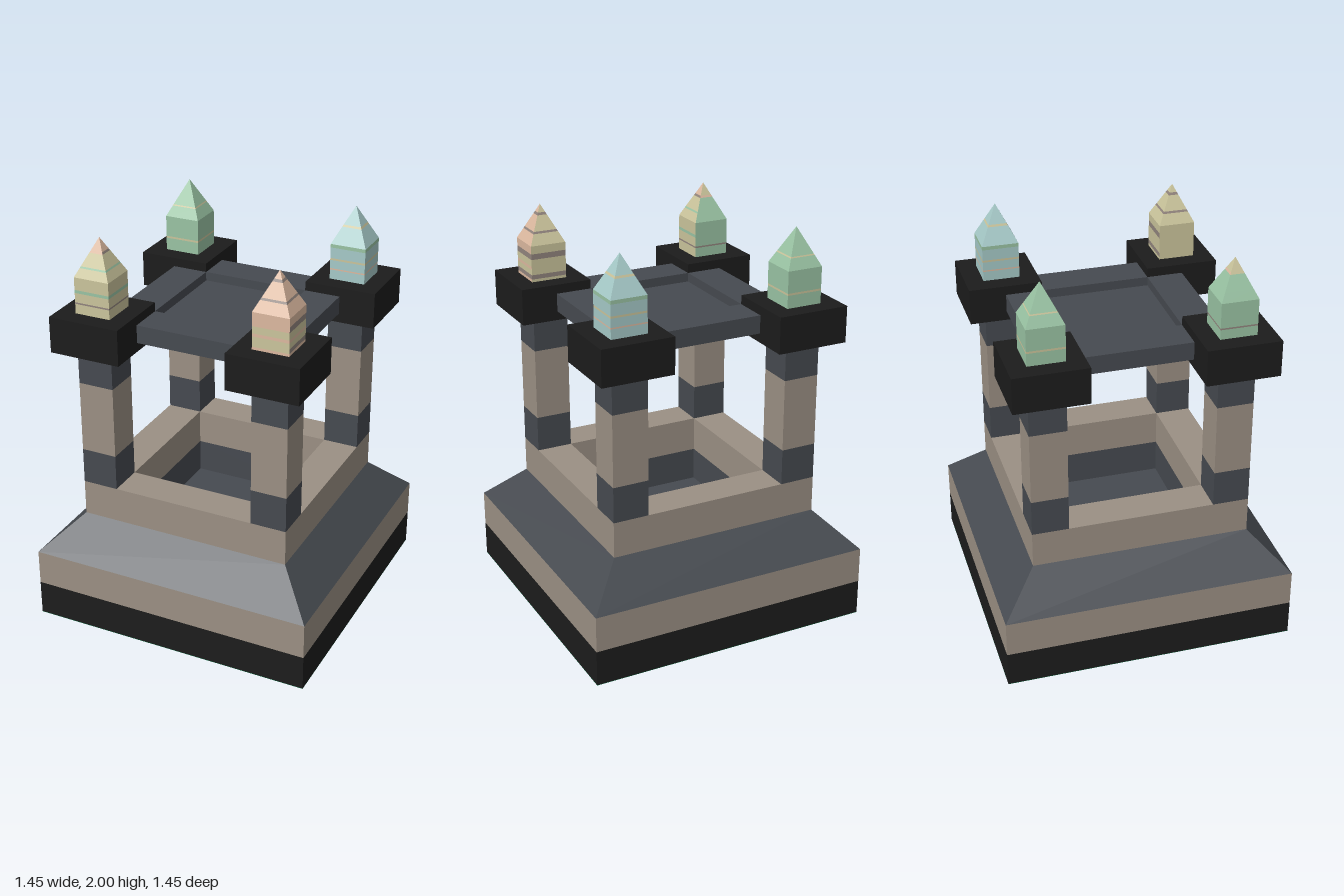
import * as THREE from 'three';

const mat = (name, color) => {
  const m = new THREE.MeshStandardMaterial({ color });
  m.name = name;
  return m;
};

export function createModel() {
  const black = mat('black stone', 0x1c1c1c);
  const slate = mat('slate', 0x464a50);
  const tan = mat('tan stone', 0x9b9084);
  const green = mat('dark green', 0x046c3e);
  const salmon = mat('salmon crystal', 0xdcb9a0);
  const yellow = mat('yellow crystal', 0xcbc59c);
  const mint = mat('mint crystal', 0x9ac4a4);
  const teal = mat('teal crystal', 0xa6cac8);
  const grey = mat('grey brown', 0x92857e);

  const U = 2 / 11; // one block
  const model = new THREE.Group();
  model.name = 'shrine';

  const add = (parent, name, geo, material) => {
    const mesh = new THREE.Mesh(geo, material);
    mesh.name = name;
    parent.add(mesh);
    return mesh;
  };

  // Upright square box between two heights
  const block = (parent, name, material, w, y0, y1) => {
    const mesh = add(parent, name, new THREE.BoxGeometry(w, y1 - y0, w), material);
    mesh.position.y = (y0 + y1) / 2;
    return mesh;
  };

  // Square outline of half-width h
  const square = (Type, h) => new Type([[-h, -h], [h, -h], [h, h], [-h, h]]
    .map(([x, y]) => new THREE.Vector2(x, y)));

  // Square frame with a square hole
  const ring = (name, material, outer, inner, y0, y1) => {
    const shape = square(THREE.Shape, outer);
    shape.holes.push(square(THREE.Path, inner));
    const geo = new THREE.ExtrudeGeometry(shape, { depth: y1 - y0, bevelEnabled: false });
    geo.rotateX(-Math.PI / 2).translate(0, y0, 0);
    return add(model, name, geo, material);
  };

  // Four-sided tapered band; sides are coloured in the order +x, -z, -x, +z
  const taper = (parent, name, materials, h0, h1, y0, y1) => {
    let geo = new THREE.CylinderGeometry(h1 * Math.SQRT2, h0 * Math.SQRT2, y1 - y0, 4, 1, true);
    geo = geo.rotateY(Math.PI / 4).translate(0, (y0 + y1) / 2, 0).toNonIndexed();
    geo.computeVertexNormals();
    geo.clearGroups();
    const perSide = geo.attributes.position.count / 4;
    for (let i = 0; i < 4; i++) geo.addGroup(i * perSide, perSide, i);
    return add(parent, name, geo, materials);
  };
  const all = (m) => [m, m, m, m];

  // Stepped base
  ring('undersidePlate', green, 4 * U, 2 * U, 0, 0.002);
  ring('plinth', black, 4 * U, 2.5 * U, 0.002, U);
  ring('baseCourse', tan, 4 * U, 2.5 * U, U, 2 * U);
  taper(model, 'slopedCourse', all(slate), 4 * U, 3 * U, 2 * U, 3 * U);
  ring('pitWall', slate, 3 * U - 0.002, 2 * U, 2 * U, 3 * U);
  ring('parapet', tan, 3 * U, 2 * U, 3 * U, 4 * U);

  // Recess under the base and the pit floor above it
  ring('recessFoot', tan, 2.5 * U, 2.4 * U, 0.002, 0.09);
  ring('recessLining', slate, 2.5 * U, 2.4 * U, 0.09, 2 * U);
  block(model, 'pitFloor', slate, 5 * U, 2 * U, 2 * U + 0.009);

  // Roof frame with a lower middle panel
  ring('roofFrame', slate, 2.5 * U, 1.5 * U, 8.25 * U, 8.75 * U);
  block(model, 'roofPanel', slate, 3 * U, 8.35 * U, 8.5 * U);

  // Crystals: main side colours, then [top height, stripe colours] upward;
  // a band with no stripe keeps the main colours
  const crystals = [
    { x: -1, z: 1, sides: [yellow, mint, mint, yellow],
      bands: [[1.685], [1.693, all(grey)], [1.74], [1.755, all(mint)], [1.818], [1.86],
        [1.868, all(mint)], [1.93], [1.94, [grey, salmon, yellow, salmon]], [2, [salmon, yellow, yellow, salmon]]] },
    { x: 1, z: 1, sides: [salmon, yellow, yellow, salmon],
      bands: [[1.65], [1.672, [grey, grey, yellow, yellow]], [1.7, all(yellow)], [1.715],
        [1.75, all(yellow)], [1.778, [grey, grey, yellow, salmon]], [1.818], [1.87],
        [1.88, all(grey)], [1.95], [1.962, all(grey)], [2]] },
    { x: -1, z: -1, sides: [mint, mint, mint, mint],
      bands: [[1.7], [1.71, all(yellow)], [1.818], [1.87], [1.876, all(yellow)], [2]] },
    { x: 1, z: -1, sides: [teal, teal, teal, teal],
      bands: [[1.685], [1.692, all(salmon)], [1.735], [1.745, all(yellow)], [1.8], [1.818, all(mint)],
        [1.9], [1.91, all(yellow)], [2]] },
  ];
  const half = (y) => (U / 2) * Math.min(1, (2 - y) / U);

  // Corner pillars with caps and crystals
  for (const { x, z, sides, bands } of crystals) {
    const corner = new THREE.Group();
    corner.name = `${z > 0 ? 'front' : 'back'}${x > 0 ? 'Left' : 'Right'}Pillar`;
    corner.position.set(x * 2.5 * U, 0, z * 2.5 * U);
    model.add(corner);
    block(corner, 'pillarFoot', slate, U, 4 * U, 5 * U);
    block(corner, 'pillarShaft', tan, U, 5 * U, 7 * U);
    block(corner, 'pillarHead', slate, U, 7 * U, 8 * U);
    block(corner, 'pillarCap', black, 2 * U, 8 * U, 9 * U);
    let y = 9 * U;
    for (const [top, stripe] of bands) {
      taper(corner, 'crystalBand', stripe ?? sides, half(y), half(top), y, top);
      y = top;
    }
  }
  return model;
}
